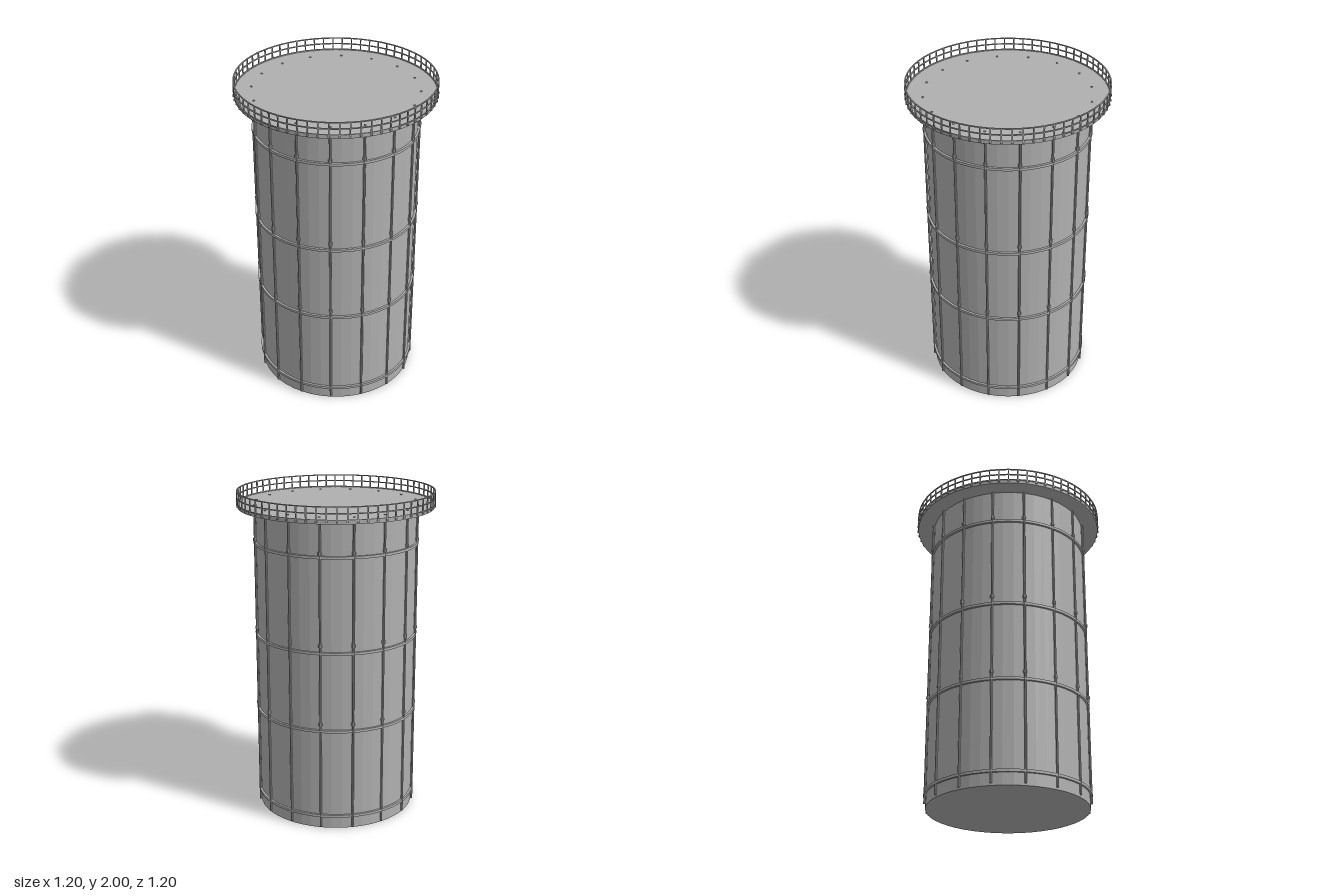
import * as THREE from 'three';

export function createModel() {
  const model = new THREE.Group();
  model.name = 'storageTank';
  const grey = new THREE.MeshStandardMaterial({ color: 0xb0b0b0, flatShading: true });
  grey.name = 'concrete grey';

  const add = (name, geometry, parent = model) => {
    const mesh = new THREE.Mesh(geometry, grey);
    mesh.name = name;
    parent.add(mesh);
    return mesh;
  };
  const group = (name) => {
    const g = new THREE.Group();
    g.name = name;
    model.add(g);
    return g;
  };
  // Closed ring with a rectangular cross-section
  const band = (inner, outer, height, segments = 64) => {
    const h = height / 2;
    const profile = [[inner, -h], [outer, -h], [outer, h], [inner, h], [inner, -h]];
    return new THREE.LatheGeometry(profile.map(([r, y]) => new THREE.Vector2(r, y)), segments);
  };
  // Calls place(x, z, angle) evenly around the axis
  const around = (count, radius, place) => {
    for (let i = 0; i < count; i++) {
      const a = (i / count) * Math.PI * 2;
      place(Math.sin(a) * radius, Math.cos(a) * radius, a);
    }
  };

  // Tank wall and overhanging roof deck
  add('tankBody', new THREE.CylinderGeometry(0.487, 0.487, 1.9, 48)).position.y = 0.95;
  add('roofDeck', new THREE.CylinderGeometry(0.592, 0.592, 0.02, 64)).position.y = 1.91;

  // Horizontal hoops
  const hoops = group('hoops');
  const hoopGeometry = band(0.484, 0.5, 0.016);
  for (const y of [0.082, 0.635, 1.12, 1.69]) add('hoop', hoopGeometry, hoops).position.y = y;

  // Vertical rods with couplings; their tips poke through the deck
  const rods = group('verticalRods');
  const rodGeometry = new THREE.CylinderGeometry(0.007, 0.007, 1.912, 8);
  const couplingGeometry = new THREE.CylinderGeometry(0.011, 0.011, 0.018, 8);
  around(16, 0.495, (x, z) => {
    add('rod', rodGeometry, rods).position.set(x, 0.968, z);
    for (const y of [0.68, 1.167, 1.715]) add('coupling', couplingGeometry, rods).position.set(x, y, z);
  });

  // Guard railing: posts, brackets at the deck edge and three rails
  const railing = group('railing');
  const postGeometry = new THREE.BoxGeometry(0.007, 0.09, 0.007);
  const bracketGeometry = new THREE.BoxGeometry(0.012, 0.012, 0.012);
  around(64, 0.594, (x, z, a) => {
    const post = add('post', postGeometry, railing);
    post.position.set(x, 1.953, z);
    post.rotation.y = a;
    const bracket = add('postBracket', bracketGeometry, railing);
    bracket.position.set(x, 1.915, z);
    bracket.rotation.y = a;
  });
  const railGeometry = band(0.59, 0.597, 0.006);
  for (const y of [1.923, 1.96, 1.997]) add('rail', railGeometry, railing).position.y = y;

  return model;
}
